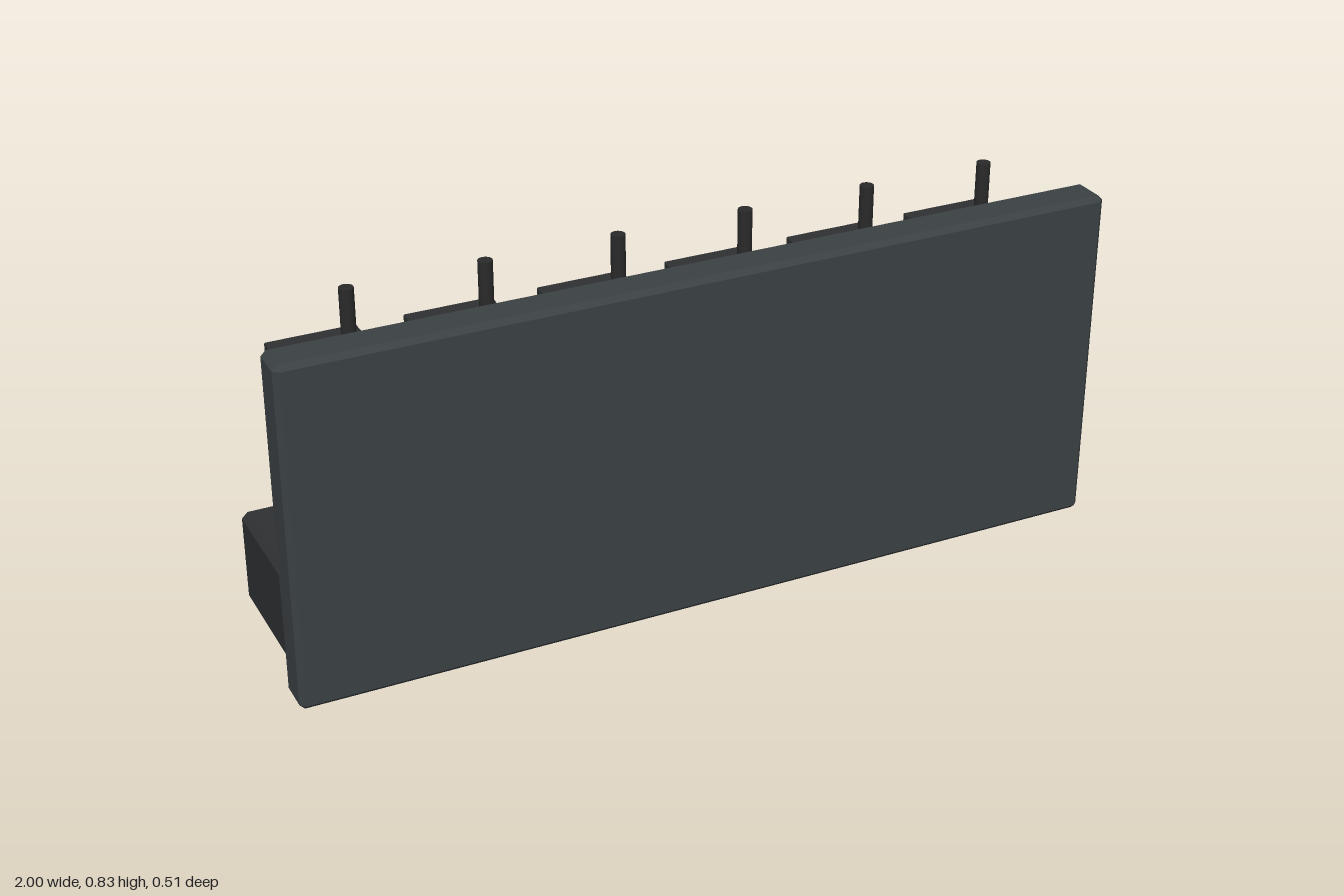
import * as THREE from 'three';
import { ConvexGeometry } from 'three/addons/geometries/ConvexGeometry.js';

const material = (color) => new THREE.MeshStandardMaterial({ color });

// Box with every edge chamfered by c
function chamferBox(w, h, d, c) {
  const points = [];
  for (const x of [-1, 1]) for (const y of [-1, 1]) for (const z of [-1, 1]) {
    for (let full = 0; full < 3; full++) {
      const inset = [0, 1, 2].map((axis) => (axis === full ? 0 : c));
      points.push(new THREE.Vector3(
        x * (w / 2 - inset[0]), y * (h / 2 - inset[1]), z * (d / 2 - inset[2])));
    }
  }
  return new ConvexGeometry(points);
}

function addPart(parent, name, geometry, mat, x, y, z) {
  const mesh = new THREE.Mesh(geometry, mat);
  mesh.name = name;
  mesh.position.set(x, y, z);
  parent.add(mesh);
  return mesh;
}

export function createModel() {
  const group = new THREE.Group();
  group.name = 'radioChargingStation';
  const panelMat = material(0x3b4144);
  const darkMat = material(0x2f3032);
  const antennaMat = material(0x2a2a2b);
  const screenMat = material(0x8c9092);
  const ledMat = material(0x2f9e44);

  // Upright front panel and charging base behind it
  addPart(group, 'frontPanel', chamferBox(2, 0.833, 0.098, 0.012), panelMat, 0, 0.4165, 0.206);
  addPart(group, 'chargerBase', chamferBox(1.93, 0.233, 0.4, 0.014), darkMat, 0, 0.1165, -0.043);

  // Shared shapes for the row of radios
  const bodyGeo = chamferBox(0.21, 0.467, 0.182, 0.002);
  const screenGeo = chamferBox(0.124, 0.13, 0.011, 0.002);
  const antennaGeo = new THREE.CylinderGeometry(0.017, 0.017, 0.133, 16);
  const ledGeo = chamferBox(0.036, 0.037, 0.011, 0.002);

  for (let i = 0; i < 6; i++) {
    const radio = new THREE.Group();
    radio.name = 'radio' + (i + 1);
    radio.position.x = (i - 2.5) * 0.32;
    addPart(radio, 'radioBody', bodyGeo, darkMat, -0.003, 0.4665, -0.036);
    addPart(radio, 'antenna', antennaGeo, antennaMat, 0.058, 0.7665, -0.044);
    addPart(radio, 'screen', screenGeo, screenMat, -0.003, 0.485, -0.1335);
    // Status light on the base below each radio
    addPart(radio, 'statusLight', ledGeo, ledMat, -0.003, 0.121, -0.249);
    group.add(radio);
  }
  return group;
}
